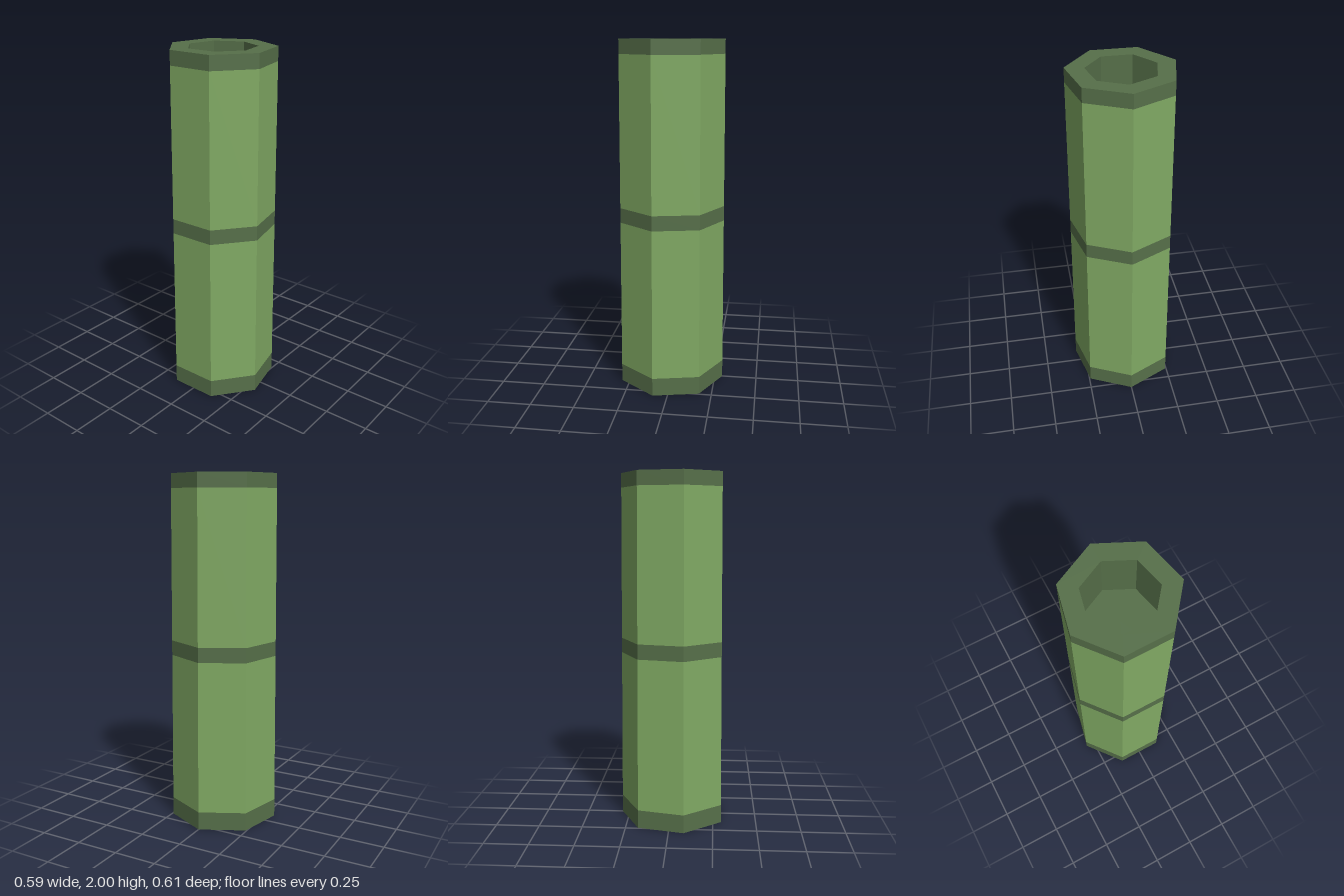
import * as THREE from 'three';

const SIDES = 7;
const CENTER_X = -0.0165; // centres the heptagon's bounding box
const HOLE_RADIUS = 0.194;
const HOLE_FLOOR = 1.7;

// Outer radius of the gently tapering stalk at height y
const radiusAt = (y) => THREE.MathUtils.lerp(0.3115, 0.299, y / 2);

export function createModel() {
  const group = new THREE.Group();
  group.name = 'hollowStalk';

  const stalk = new THREE.MeshStandardMaterial({ color: 0x80a963, flatShading: true });
  const node = new THREE.MeshStandardMaterial({ color: 0x566f49, flatShading: true });

  // Seven-sided ring of surface from a profile of [radius, height] points
  const addPart = (name, profile, material) => {
    const points = profile.map(([r, y]) => new THREE.Vector2(r, y));
    const mesh = new THREE.Mesh(new THREE.LatheGeometry(points, SIDES, Math.PI / 2), material);
    mesh.name = name;
    mesh.position.x = CENTER_X;
    group.add(mesh);
  };
  const wall = (y0, y1) => [[radiusAt(y0), y0], [radiusAt(y1), y1]];

  // Closed base with its dark band
  addPart('baseBand', [[0, 0], ...wall(0, 0.105)], node);
  addPart('lowerStalk', wall(0.105, 0.98), stalk);
  addPart('middleBand', wall(0.98, 1.065), node);
  addPart('upperStalk', wall(1.065, 1.92), stalk);
  // Top band, rim, and the straight-sided hole with its floor
  addPart('topBand', wall(1.92, 2), node);
  addPart('rimAndHole', [
    [radiusAt(2), 2], [HOLE_RADIUS, 2], [HOLE_RADIUS, HOLE_FLOOR], [0, HOLE_FLOOR],
  ], node);

  return group;
}
